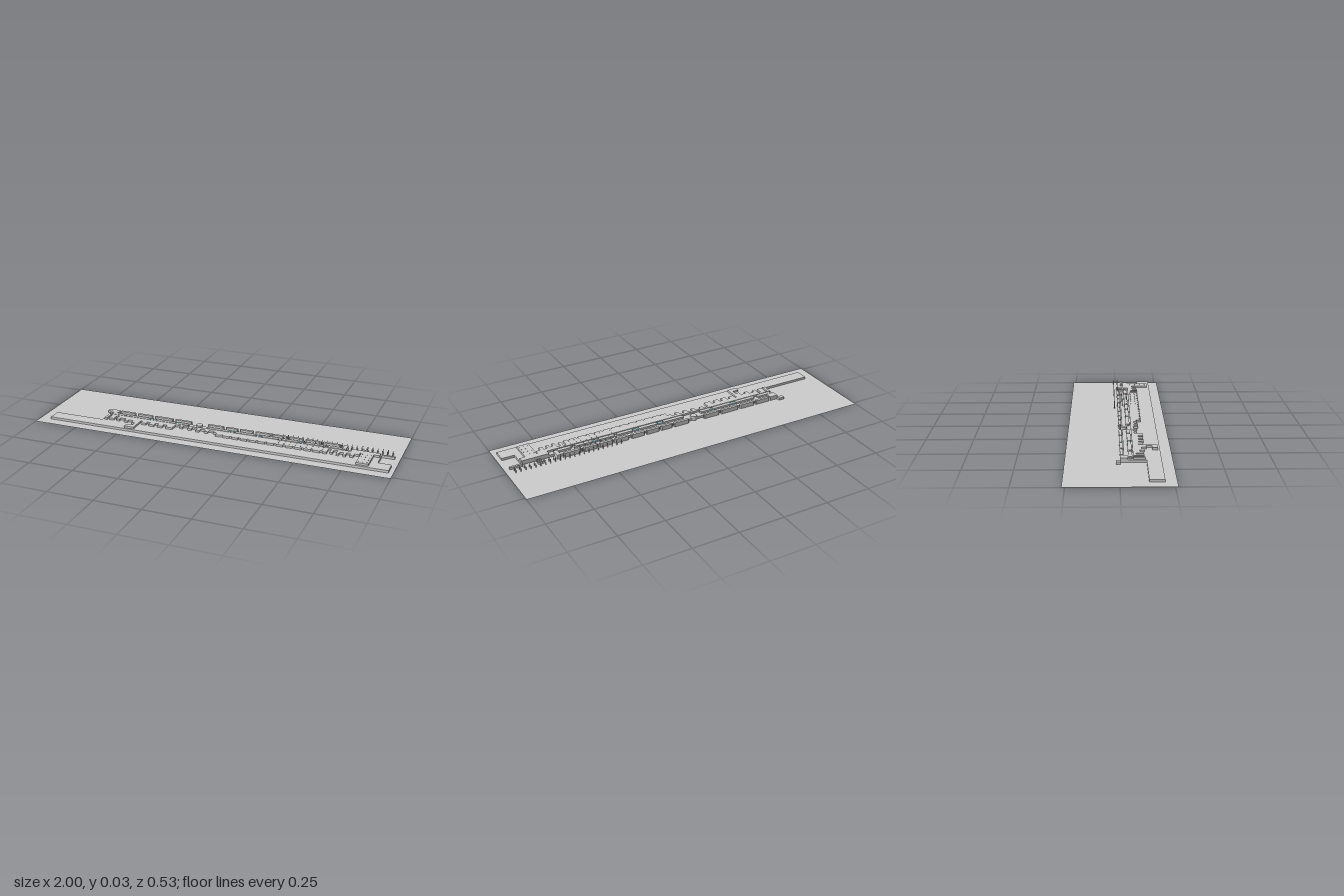
import * as THREE from 'three';

const GREY = new THREE.MeshStandardMaterial({ color: 0xcccccc, flatShading: true });
const SHEET = new THREE.MeshStandardMaterial({ color: 0xcccccc, side: THREE.DoubleSide });
const GLASS = new THREE.MeshStandardMaterial({ color: 0xa9d3de });
const LOW = 0.014, HIGH = 0.025; // platform top and roof top

function add(parent, name, geometry, material = GREY) {
  const mesh = new THREE.Mesh(geometry, material);
  mesh.name = name;
  parent.add(mesh);
  return mesh;
}

// Upright prism over a plan outline of [x, z] points
function prism(parent, name, plan, y0, y1) {
  const shape = new THREE.Shape(plan.map(([x, z]) => new THREE.Vector2(x, -z)));
  const geo = new THREE.ExtrudeGeometry(shape, { depth: y1 - y0, bevelEnabled: false });
  geo.rotateX(-Math.PI / 2).translate(0, y0, 0);
  return add(parent, name, geo);
}

// Box given by its plan limits
function block(parent, name, x0, x1, z0, z1, y0 = LOW, y1 = HIGH, material = GREY) {
  const geo = new THREE.BoxGeometry(x1 - x0, y1 - y0, z1 - z0);
  geo.translate((x0 + x1) / 2, (y0 + y1) / 2, (z0 + z1) / 2);
  return add(parent, name, geo, material);
}

// Narrow bar with chamfered ends
function bar(parent, name, x0, x1, z0, z1) {
  const c = Math.min((z1 - z0) / 2, (x1 - x0) / 2) * 0.7;
  prism(parent, name, [[x0, z0 + c], [x0 + c, z0], [x1 - c, z0], [x1, z0 + c],
    [x1, z1 - c], [x1 - c, z1], [x0 + c, z1], [x0, z1 - c]], 0.001, HIGH);
}

function post(parent, x, z, y1 = HIGH, r = 0.002) {
  const geo = new THREE.CylinderGeometry(r, r, y1, 6);
  geo.translate(x, y1 / 2, z);
  add(parent, 'post', geo);
}

export function createModel() {
  const model = new THREE.Group();
  model.name = 'sitePlan';
  const group = name => {
    const g = new THREE.Group();
    g.name = name;
    model.add(g);
    return g;
  };

  // Ground sheet
  add(model, 'ground', new THREE.PlaneGeometry(2, 0.53).rotateX(-Math.PI / 2), SHEET);

  // Low platform: long front strip with the central terrace behind it
  prism(model, 'platform', [[-0.935, 0.135], [-0.65, 0.135], [-0.65, 0.045], [-0.6, 0.045],
    [-0.6, 0.025], [0.72, 0.025], [0.72, 0.045], [0.905, 0.045], [0.905, 0.135],
    [0.976, 0.135], [0.976, 0.208], [-0.935, 0.208]], 0.001, LOW);

  // Small wing at the far end
  block(model, 'endKnob', -0.68, -0.645, -0.015, 0.008, 0.001, LOW);
  block(model, 'endLink', -0.647, -0.6, 0.006, 0.045, 0.001, HIGH);

  // Main hall with a stepped, toothed front edge
  const fronts = [ // [start x, front z] of each step
    [-0.64, 0.13], [-0.625, 0.075], [-0.615, 0.125], [-0.585, 0.085], [-0.57, 0.125], [-0.55, 0.105],
    [-0.52, 0.13], [-0.5, 0.115], [-0.44, 0.1], [-0.42, 0.125], [-0.39, 0.105], [-0.37, 0.13],
    [-0.34, 0.105], [-0.32, 0.13], [-0.29, 0.105], [-0.27, 0.13], [-0.23, 0.085], [-0.2, 0.1],
    [-0.18, 0.082], [-0.15, 0.105], [-0.13, 0.085], [-0.1, 0.11], [-0.08, 0.09], [-0.05, 0.11],
    [-0.03, 0.09], [0.0, 0.105], [0.02, 0.128]];
  for (let x = 0.05; x < 0.62; x += 0.05) fronts.push([x, 0.122], [x + 0.012, 0.13]);
  fronts.push([0.635, 0.085], [0.65, 0.125], [0.665, 0.09], [0.685, 0.13], [0.7, 0.105],
    [0.72, 0.13], [0.735, 0.1], [0.755, 0.125], [0.775, 0.1]);
  const plan = [[0.8, 0.073], [-0.64, 0.07]];
  fronts.forEach(([x, z], i) => {
    plan.push([x, z], [i + 1 < fronts.length ? fronts[i + 1][0] : 0.8, z]);
  });
  prism(model, 'mainHall', plan, LOW, HIGH);

  // Wings reaching towards the front strip
  prism(model, 'frontWing', [[-0.47, 0.1], [-0.43, 0.1], [-0.43, 0.198], [-0.485, 0.198],
    [-0.485, 0.17], [-0.45, 0.17], [-0.45, 0.14], [-0.47, 0.14]], LOW, HIGH);
  prism(model, 'sideWing', [[0.75, 0.045], [0.9, 0.045], [0.9, 0.075], [0.87, 0.075],
    [0.87, 0.195], [0.805, 0.195], [0.805, 0.075], [0.75, 0.075]], LOW, HIGH);
  block(model, 'endStrip', 0.9, 0.972, 0.03, 0.042, 0.001, LOW);

  // Back row of narrow bars
  const backRow = group('backRow');
  [[-0.595, -0.5], [-0.49, -0.395], [-0.385, -0.27], [-0.26, -0.16], [-0.065, 0.03], [0.04, 0.11],
    [0.12, 0.2], [0.21, 0.29], [0.305, 0.39], [0.4, 0.48], [0.49, 0.57], [0.585, 0.68]]
    .forEach(([a, b]) => bar(backRow, 'backBar', a, b, 0.006, 0.021));

  // Inner row of blocks with glazed links between them
  const innerRow = group('innerRow');
  [[-0.63, -0.54], [-0.52, -0.39], [-0.36, -0.24], [-0.225, -0.16], [-0.055, 0.075], [0.11, 0.225],
    [0.26, 0.355], [0.37, 0.47], [0.5, 0.6], [0.62, 0.7]]
    .forEach(([a, b]) => bar(innerRow, 'innerBlock', a, b, 0.046, 0.066));
  [-0.39, -0.24, 0.075, 0.225, 0.47]
    .forEach(x => block(innerRow, 'glassLink', x, x + 0.03, 0.048, 0.064, LOW, 0.023, GLASS));

  // Round pavilion between the bars
  add(model, 'roundPavilion', new THREE.CylinderGeometry(0.018, 0.018, HIGH, 24)
    .translate(-0.107, HIGH / 2, 0.034));

  // Diagonal and upright connectors near the end
  prism(model, 'diagonalLink', [[0.27, 0.021], [0.285, 0.021], [0.31, 0.006], [0.295, 0.006]], LOW, HIGH);
  block(model, 'uprightLink', 0.7, 0.72, 0.006, 0.06, 0.001, HIGH);

  // Rows of thin posts
  const posts = group('posts');
  for (let x = 0.36; x < 0.98; x += 0.027) {
    post(posts, x, -0.01);
    post(posts, x, 0.012);
  }
  for (let x = 0.37; x < 0.63; x += 0.03)
    for (const z of [0.035, 0.06, 0.085, 0.11]) post(posts, x, z, 0.027);
  for (const x of [0.815, 0.838, 0.86])
    for (let z = 0.09; z < 0.19; z += 0.03) post(posts, x, z, 0.027);

  // Stair steps between the post rows
  for (let i = 0; i < 5; i++)
    block(model, 'step', 0.8, 0.825, 0.005 + i * 0.007, 0.009 + i * 0.007, 0.001, LOW);

  return model;
}
